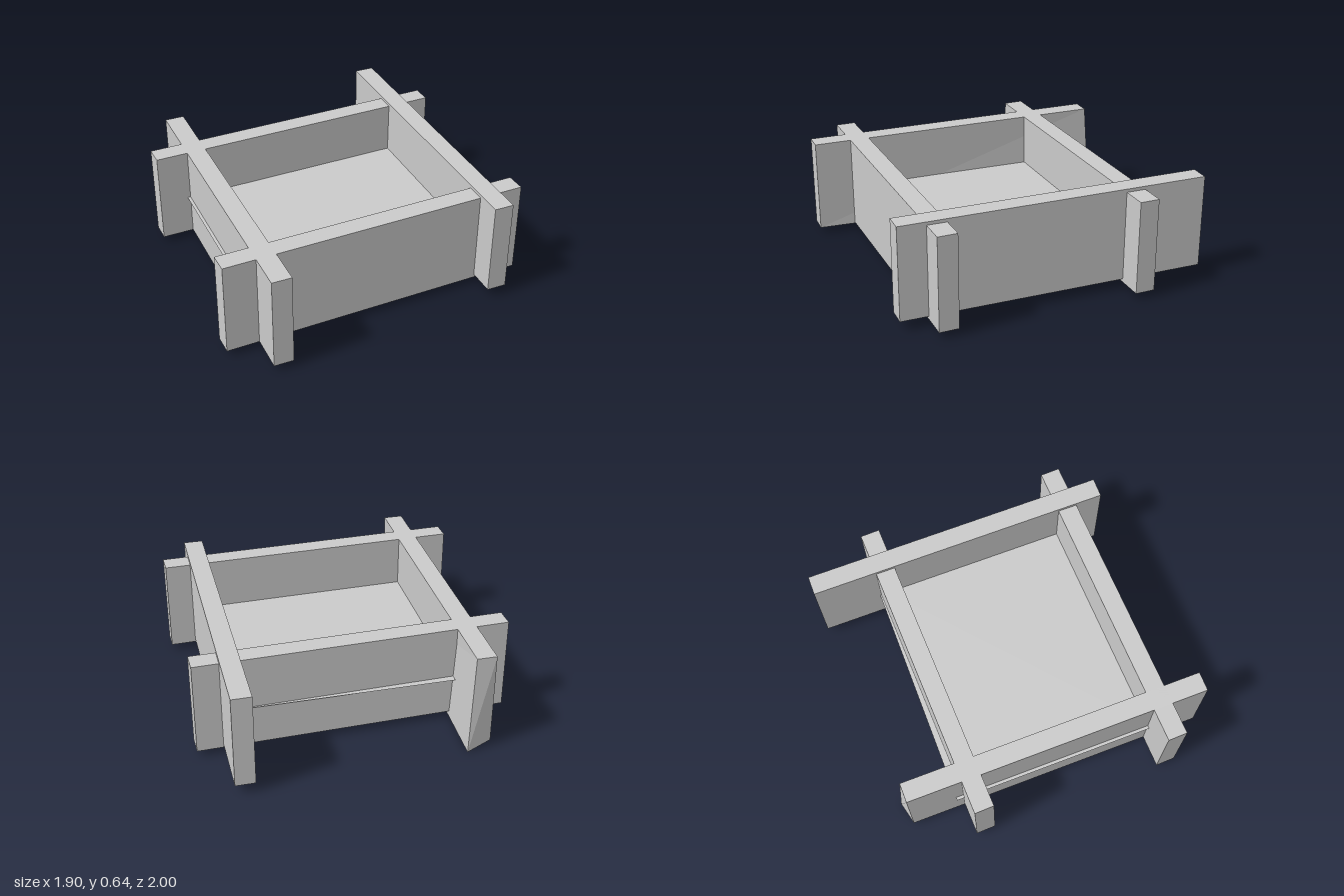
import * as THREE from 'three';

export function createModel() {
  const group = new THREE.Group();
  const material = new THREE.MeshStandardMaterial({
    color: 0xcccccc, flatShading: true, side: THREE.DoubleSide,
  });

  function add(name, geometry, x, y, z) {
    const mesh = new THREE.Mesh(geometry, material);
    mesh.name = name;
    mesh.position.set(x, y, z);
    group.add(mesh);
    return mesh;
  }

  const thick = 0.12, height = 0.58;

  // Side board on the left
  add('leftBoard', new THREE.BoxGeometry(thick, height, 1.9), 0.73, 0.35, -0.05);

  // Side board on the right, its lower inner back corner pulled out of true
  const bent = new THREE.BoxGeometry(thick, height, 1.9);
  const p = bent.attributes.position;
  for (let i = 0; i < p.count; i++) {
    if (p.getX(i) > 0 && p.getY(i) < 0 && p.getZ(i) < 0) {
      p.setXYZ(i, p.getX(i) + 0.03, p.getY(i) - 0.04, p.getZ(i) - 0.035);
    }
  }
  bent.computeVertexNormals();
  add('rightBoard', bent, -0.69, 0.33, 0.05);

  // Cross boards, slightly skewed
  for (const [name, z] of [['frontBoard', 0.692], ['backBoard', -0.522]]) {
    const board = add(name, new THREE.BoxGeometry(1.9, height, thick), 0, 0.33, z);
    board.rotation.y = 0.0275;
  }

  // Thin floor sheet, poking through the back and right boards
  const floor = new THREE.PlaneGeometry(1.5, 1.29).rotateX(-Math.PI / 2);
  add('floor', floor, -0.02, 0.295, 0.035);

  return group;
}
